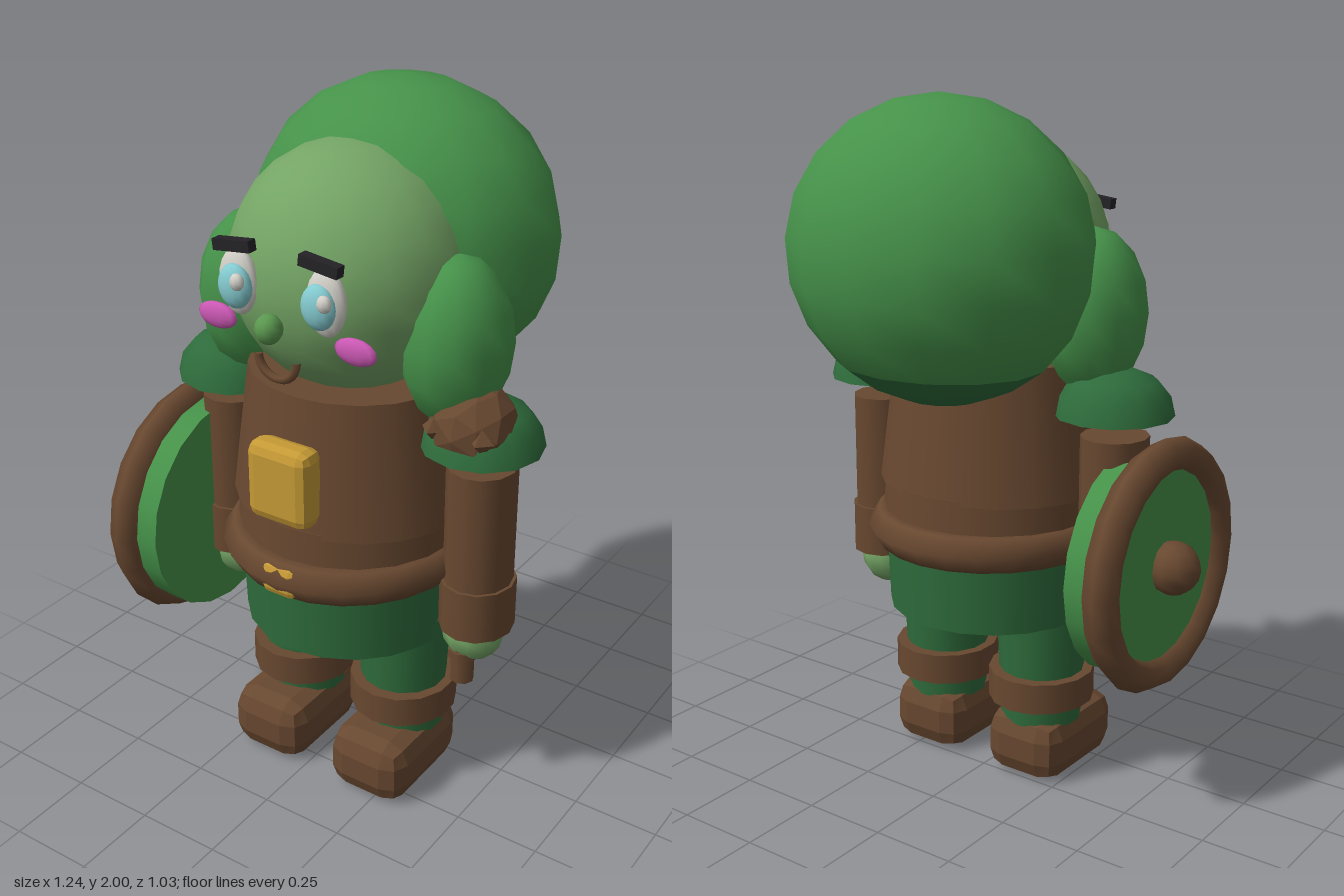
import * as THREE from 'three';
import { toCreasedNormals } from 'three/addons/utils/BufferGeometryUtils.js';
import { RoundedBoxGeometry } from 'three/addons/geometries/RoundedBoxGeometry.js';

const material = (name, color) => {
  const m = new THREE.MeshStandardMaterial({ color });
  m.name = name;
  return m;
};

export function createModel() {
  const skin = material('skin green', 0x74a465);
  const hair = material('leaf green', 0x46924a);
  const cloth = material('dark green', 0x2e6b3b);
  const leather = material('leather brown', 0x684830);
  const gold = material('gold', 0xc59a35);
  const pink = material('cheek pink', 0xcb58b4);
  const white = material('eye white', 0xd2d0c8);
  const iris = material('iris blue', 0x84cbd0);
  const black = material('brow black', 0x242226);
  const noseGreen = material('nose green', 0x5b9850);

  const model = new THREE.Group();
  model.name = 'figure';
  // The body's own axis is offset because the shield widens one side
  const body = new THREE.Group();
  body.name = 'body';
  body.position.set(0.043, 0, 0.11);
  model.add(body);

  const add = (name, geometry, mat, x, y, z, parent = body) => {
    const mesh = new THREE.Mesh(geometry, mat);
    mesh.name = name;
    mesh.position.set(x, y, z);
    parent.add(mesh);
    return mesh;
  };
  const ball = (name, mat, x, y, z, rx, ry, rz, w = 14, h = 10) => {
    const mesh = add(name, new THREE.SphereGeometry(1, w, h), mat, x, y, z);
    mesh.scale.set(rx, ry, rz);
    return mesh;
  };
  const tube = (name, mat, x, z, y0, y1, r0, r1, sides = 14, depth = 1) => {
    const mesh = add(name, new THREE.CylinderGeometry(r1, r0, y1 - y0, sides), mat, x, (y0 + y1) / 2, z);
    mesh.scale.z = depth;
    return mesh;
  };
  const chamferBox = (w, h, d, bevel) =>
    toCreasedNormals(new RoundedBoxGeometry(w, h, d, 1, bevel), 0.2);

  // Head and the big round hair behind it, with a darker underside
  ball('head', skin, 0, 1.55, 0, 0.335, 0.335, 0.325, 18, 14);
  const split = Math.PI * 0.76;
  const hairParts = [
    ['hair', hair, 0, split, 8],
    ['hairUnderside', cloth, split, Math.PI - split, 3],
  ];
  for (const [name, mat, start, length, rows] of hairParts) {
    const geo = new THREE.SphereGeometry(1, 14, rows, 0, Math.PI * 2, start, length);
    geo.rotateY(Math.PI / 2);
    add(name, geo, mat, 0, 1.58, -0.25).scale.set(0.448, 0.42, 0.38);
  }

  // Face
  ball('nose', noseGreen, 0, 1.49, 0.367, 0.037, 0.04, 0.037, 10, 8);
  const mouth = add('mouth', new THREE.TorusGeometry(0.06, 0.012, 6, 12, Math.PI), leather, 0, 1.402, 0.335);
  mouth.rotation.z = Math.PI;

  for (const s of [-1, 1]) {
    const side = s > 0 ? 'left' : 'right';
    ball(side + 'HairBun', hair, s * 0.328, 1.41, 0.01, 0.148, 0.235, 0.16, 12, 8);
    ball(side + 'Eye', white, s * 0.135, 1.57, 0.31, 0.058, 0.09, 0.03);
    ball(side + 'Iris', iris, s * 0.128, 1.565, 0.333, 0.05, 0.06, 0.03);
    ball(side + 'EyeGlint', white, s * 0.132 + 0.033, 1.59, 0.362, 0.021, 0.023, 0.016, 8, 6);
    ball(side + 'Cheek', pink, s * 0.215, 1.457, 0.302, 0.063, 0.036, 0.018, 10, 8);
    const brow = add(side + 'Eyebrow', new THREE.BoxGeometry(0.115, 0.03, 0.03), black, s * 0.132, 1.672, 0.327);
    brow.rotation.z = -s * 0.12;

    // Shoulder pad: a shallow closed dome
    const dome = new THREE.LatheGeometry(
      [[0, 0], [0.168, 0], [0.155, 0.055], [0.118, 0.1], [0.06, 0.125], [0, 0.132]].map(([x, y]) => new THREE.Vector2(x, y)), 12);
    add(side + 'ShoulderPad', toCreasedNormals(dome, 0.9), cloth, s * 0.408, 1.135, 0);

    // Arm
    tube(side + 'Sleeve', leather, s * 0.413, 0, 0.7, 1.077, 0.095, 0.095, 12, 1.08);
    tube(side + 'Cuff', leather, s * 0.413, 0, 0.58, 0.73, 0.104, 0.104, 12, 1.08);
    ball(side + 'Hand', skin, s * 0.405, 0.555, 0, 0.09, 0.09, 0.09, 10, 8);

    // Leg
    tube(side + 'Leg', cloth, s * 0.177, 0, 0.17, 0.56, 0.12, 0.137, 14);
    tube(side + 'LegBand', leather, s * 0.177, 0, 0.235, 0.327, 0.155, 0.155, 14, 1.05);
    add(side + 'Boot', chamferBox(0.25, 0.195, 0.362, 0.062), leather, s * 0.177, 0.0975, 0.05);
  }

  // Torso
  tube('tunic', leather, 0, 0, 0.885, 1.267, 0.345, 0.295, 20, 0.92);
  tube('tunicSkirt', leather, 0, 0, 0.75, 0.9, 0.33, 0.322, 20, 0.99);
  tube('hips', cloth, 0, 0, 0.505, 0.73, 0.31, 0.318, 20, 1.01);
  const belt = add('belt', new THREE.TorusGeometry(0.307, 0.058, 6, 24), leather, 0, 0.755, 0);
  belt.rotation.x = Math.PI / 2;
  belt.scale.y = 1.05;
  add('beltBuckle', chamferBox(0.11, 0.092, 0.08, 0.02), gold, 0, 0.752, 0.327);
  add('chestPlate', chamferBox(0.195, 0.225, 0.09, 0.03), gold, 0, 1.04, 0.32);

  // Studded ball on the left shoulder and the hilt held in the left hand
  add('shoulderBall', toCreasedNormals(new THREE.IcosahedronGeometry(0.12, 1), 0.1), leather, 0.408, 1.207, 0.045);
  for (const dx of [-0.07, 0.07]) {
    add('shoulderStud', new THREE.OctahedronGeometry(0.036), leather, 0.408 + dx, 1.212, 0.128);
  }
  tube('hilt', leather, 0.397, 0.042, 0.408, 0.56, 0.034, 0.034, 8);
  tube('hiltCollar', leather, 0.397, 0.042, 0.485, 0.51, 0.042, 0.042, 8);

  // Round shield on the right arm, facing outwards
  const shield = new THREE.Group();
  shield.name = 'shield';
  shield.position.set(-0.507, 0.713, 0.147);
  shield.rotation.y = -Math.PI / 2;
  model.add(shield);
  add('shieldRim', new THREE.TorusGeometry(0.318, 0.05, 6, 20), leather, 0, 0, 0, shield);
  const disc = new THREE.CylinderGeometry(0.325, 0.325, 0.125, 20);
  disc.rotateX(Math.PI / 2);
  add('shieldDisc', disc, hair, 0, 0, -0.05, shield);
  add('shieldBoss', new THREE.SphereGeometry(0.077, 10, 8), leather, 0, 0, 0.042, shield);

  return model;
}
